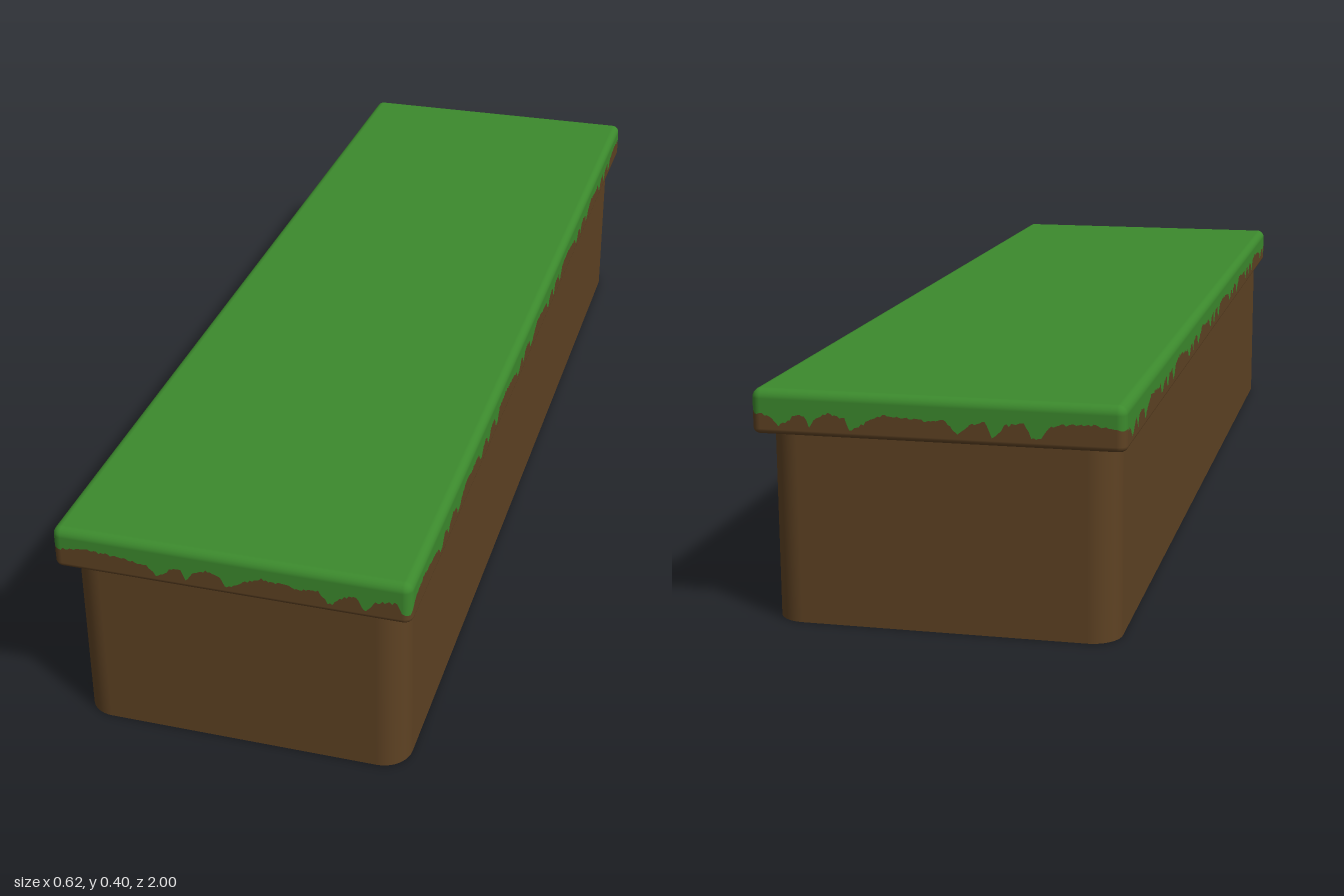
import * as THREE from 'three';

const grass = new THREE.MeshStandardMaterial({ color: 0x3c8a2d });
grass.name = 'grass green';
const soil = new THREE.MeshStandardMaterial({ color: 0x5e4223, side: THREE.DoubleSide });
soil.name = 'soil brown';

// Seeded random numbers for the ragged grass edge
let seed = 7;
const random = () => (seed = (seed * 16807) % 2147483647) / 2147483647;

// Rounded rectangle around the y axis: points on the inset rectangle with outward normals
function outline(hx, hz, r, step, cornerSteps) {
  const ix = hx - r, iz = hz - r, points = [];
  const corners = [[-ix, iz], [ix, iz], [ix, -iz], [-ix, -iz]];
  let s = 0;
  for (let k = 0; k < 4; k++) {
    const [ax, az] = corners[k], [bx, bz] = corners[(k + 1) % 4];
    const length = Math.hypot(bx - ax, bz - az), n = Math.max(1, Math.round(length / step));
    const angle = Math.PI / 2 - k * Math.PI / 2;
    const add = (x, z, a, d) => points.push({ x, z, nx: Math.cos(a), nz: Math.sin(a), s: s + d });
    for (let i = 0; i <= n; i++) add(ax + (bx - ax) * i / n, az + (bz - az) * i / n, angle, length * i / n);
    for (let i = 1; i < cornerSteps; i++) add(bx, bz, angle - Math.PI / 2 * i / cornerSteps, length + r * 1.57 * i / cornerSteps);
    s += length + r * 1.57;
  }
  return points;
}

// Loft rows (bottom to top) round an outline; each row has y, out, tilt of its normal, and scale
function loft(points, rows) {
  const pos = [], nor = [], index = [], n = points.length;
  for (const { y, out, tilt = 0, scale = 1 } of rows) {
    points.forEach((p, i) => {
      pos.push((p.x + p.nx * out) * scale, typeof y === 'function' ? y(i) : y, (p.z + p.nz * out) * scale);
      nor.push(p.nx * Math.cos(tilt), Math.sin(tilt), p.nz * Math.cos(tilt));
    });
  }
  for (let j = 0; j < rows.length - 1; j++) {
    for (let i = 0; i < n; i++) {
      const a = j * n + i, b = j * n + (i + 1) % n;
      index.push(a, b, b + n, a, b + n, a + n);
    }
  }
  const g = new THREE.BufferGeometry();
  g.setAttribute('position', new THREE.Float32BufferAttribute(pos, 3));
  g.setAttribute('normal', new THREE.Float32BufferAttribute(nor, 3));
  g.setIndex(index);
  return g;
}

// Height of the grass edge along one repeat of the drip pattern
const drips = [
  [0, .365], [.05, .371], [.1, .366], [.15, .36], [.167, .343], [.18, .347], [.197, .363], [.212, .36],
  [.22, .342], [.232, .36], [.255, .367], [.28, .36], [.287, .342], [.297, .345], [.317, .356], [.347, .37],
  [.415, .363], [.447, .365], [.462, .345], [.472, .345], [.487, .36], [.512, .366], [.522, .343],
  [.532, .345], [.542, .362], [.577, .366], [.587, .343], [.602, .345], [.617, .365],
];
function dripHeight(s) {
  const t = s % 0.617;
  const k = drips.findIndex((d) => d[0] > t);
  const [a, ya] = drips[k - 1], [b, yb] = drips[k];
  return ya + (yb - ya) * (t - a) / (b - a) + (random() - 0.5) * 0.005;
}

export function createModel() {
  const model = new THREE.Group();
  const part = (name, geometry, material) => {
    const mesh = new THREE.Mesh(geometry, material);
    mesh.name = name;
    model.add(mesh);
  };

  const R = 0.016, RB = 0.009, TOP = 0.402, BOTTOM = 0.327;
  const edge = outline(0.309, 1, R, 0.004, 5);
  const heights = edge.map((p) => dripHeight(p.s));
  const dripLine = (i) => heights[i];

  // Grass: ragged skirt, rounded rim and flat top
  const grassRows = [{ y: dripLine, out: R }];
  for (let i = 0; i <= 5; i++) {
    const tilt = i / 5 * Math.PI / 2;
    grassRows.push({ y: TOP - R + R * Math.sin(tilt), out: R * Math.cos(tilt), tilt });
  }
  grassRows.push({ y: TOP, out: 0, tilt: Math.PI / 2, scale: 0 });
  part('grassTop', loft(edge, grassRows), grass);

  // Soil lip under the grass: flat underside, rounded lower rim, ragged upper edge
  const lipRows = [{ y: BOTTOM, out: 0, tilt: -Math.PI / 2, scale: 0 }];
  for (let i = 0; i <= 4; i++) {
    const tilt = (i / 4 - 1) * Math.PI / 2;
    lipRows.push({ y: BOTTOM + RB + RB * Math.sin(tilt), out: R - RB + RB * Math.cos(tilt), tilt });
  }
  lipRows.push({ y: dripLine, out: R });
  part('soilLip', loft(edge, lipRows), soil);

  // Open-bottomed base walls with rounded corners
  const BR = 0.05;
  part('soilBase', loft(outline(0.292, 0.973, BR, 2, 10), [{ y: 0, out: BR }, { y: 0.33, out: BR }]), soil);

  return model;
}
